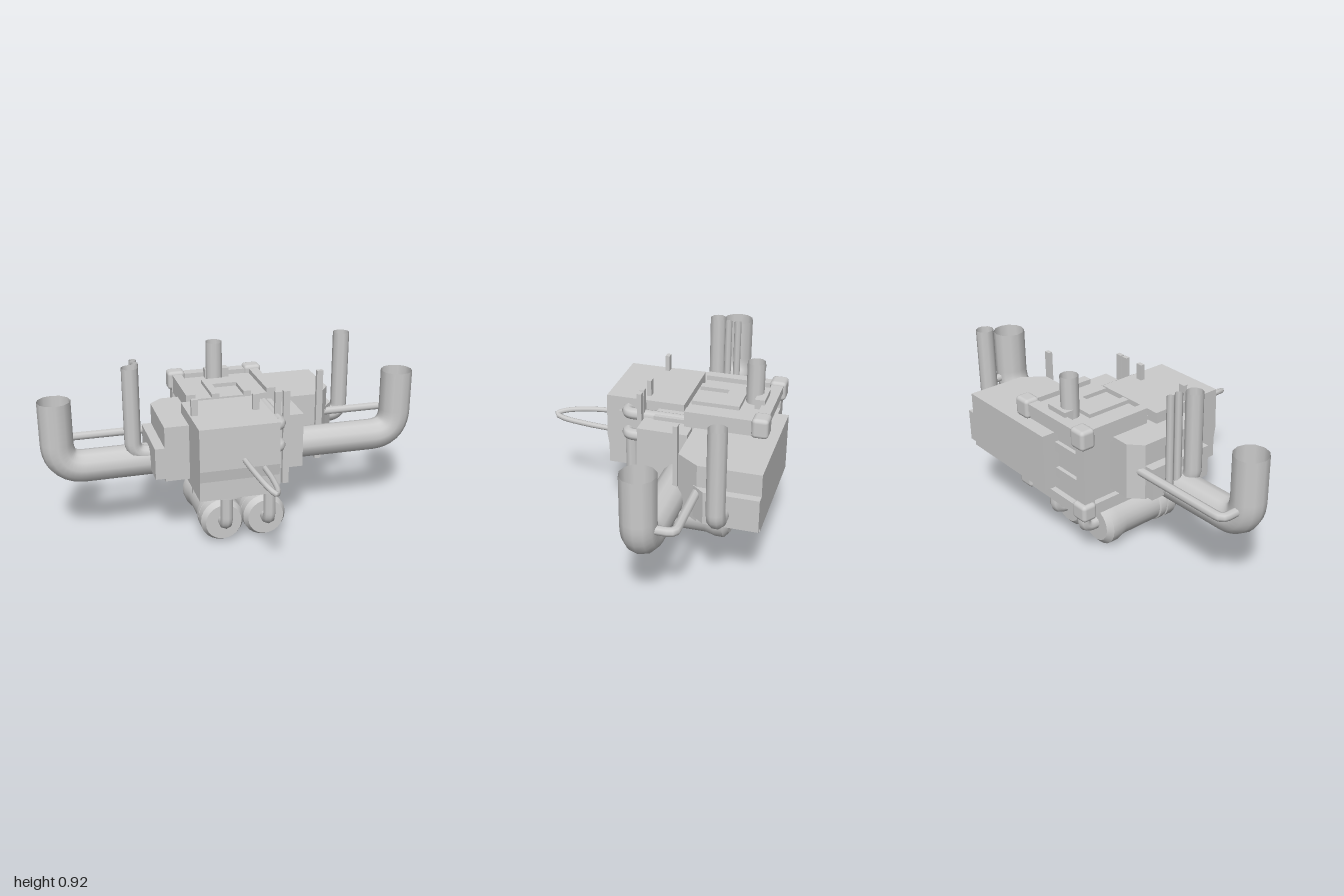
import * as THREE from 'three';
import { toCreasedNormals } from 'three/addons/utils/BufferGeometryUtils.js';
import { RoundedBoxGeometry } from 'three/addons/geometries/RoundedBoxGeometry.js';

export function createModel() {
  const model = new THREE.Group();
  const solid = new THREE.MeshStandardMaterial({ color: 0xcccccc });
  const open = new THREE.MeshStandardMaterial({ color: 0xcccccc, side: THREE.DoubleSide });

  const add = (name, geometry, material = solid) => {
    const mesh = new THREE.Mesh(geometry, material);
    mesh.name = name;
    model.add(mesh);
    return mesh;
  };
  // Box given by its limits on each axis
  const box = (name, x0, x1, y0, y1, z0, z1) =>
    add(name, new THREE.BoxGeometry(x1 - x0, y1 - y0, z1 - z0))
      .position.set((x0 + x1) / 2, (y0 + y1) / 2, (z0 + z1) / 2);
  const roundBox = (name, x0, x1, y0, y1, z0, z1, r = 0.02) =>
    add(name, new RoundedBoxGeometry(x1 - x0, y1 - y0, z1 - z0, 2, r))
      .position.set((x0 + x1) / 2, (y0 + y1) / 2, (z0 + z1) / 2);
  // Upright prism over an outline of [x, z] points
  const prism = (name, outline, y0, y1) => {
    const shape = new THREE.Shape(outline.map(([x, z]) => new THREE.Vector2(x, -z)));
    const g = new THREE.ExtrudeGeometry(shape, { depth: y1 - y0, bevelEnabled: false });
    add(name, g.rotateX(-Math.PI / 2).translate(0, y0, 0));
  };
  // Pipe through corner points, each corner rounded by the bend length
  const pipe = (name, corners, radius, bend, sides = 10) => {
    const p = corners.map(c => new THREE.Vector3(...c));
    const path = new THREE.CurvePath();
    let from = p[0];
    for (let i = 1; i < p.length - 1; i++) {
      const a = p[i].clone().add(p[i - 1].clone().sub(p[i]).setLength(bend));
      const b = p[i].clone().add(p[i + 1].clone().sub(p[i]).setLength(bend));
      path.add(new THREE.LineCurve3(from, a));
      path.add(new THREE.QuadraticBezierCurve3(a, p[i], b));
      from = b;
    }
    path.add(new THREE.LineCurve3(from, p[p.length - 1]));
    add(name, new THREE.TubeGeometry(path, 40, radius, sides), open);
  };

  // Front housing, its lower front slightly set back
  const profile = [[0.27, 0.717], [-0.13, 0.717], [-0.13, 0.34], [0.265, 0.34], [0.265, 0.44], [0.275, 0.5]];
  const side = new THREE.Shape(profile.map(([z, y]) => new THREE.Vector2(-z, y)));
  add('frontHousing', new THREE.ExtrudeGeometry(side, { depth: 0.405, bevelEnabled: false })
    .rotateY(Math.PI / 2).translate(-0.28, 0, 0));
  box('housingSidePanel', 0.12, 0.135, 0.51, 0.645, 0.07, 0.205);

  // Core and side blocks
  box('coreBlock', -0.22, 0.21, 0.33, 0.68, -0.53, 0);
  prism('rightBlock', [[-0.405, 0.05], [-0.1, 0.05], [-0.1, -0.37], [-0.34, -0.37], [-0.405, -0.31]], 0.37, 0.66);
  box('rightBlockStep', -0.455, -0.4, 0.385, 0.55, -0.31, 0.05);
  box('leftBlock', 0.1, 0.32, 0.37, 0.66, -0.2, 0.05);
  prism('rearLeftBlock', [[-0.03, -0.62], [0.58, -0.62], [0.58, -0.32], [0.5, -0.21], [-0.03, -0.21]], 0.365, 0.66);
  prism('rearLeftStep', [[0.57, -0.62], [0.62, -0.62], [0.62, -0.36], [0.57, -0.3]], 0.385, 0.55);

  // Top cover with side rails, corner pads and a raised frame
  box('topCover', -0.2, 0.19, 0.66, 0.715, -0.55, -0.16);
  for (const s of [-1, 1]) {
    const c = s * 0.215 - 0.005;
    box('topRail', c - 0.025, c + 0.025, 0.64, 0.74, -0.5, -0.16);
    roundBox('topCornerPad', c - 0.05, c + 0.045, 0.655, 0.757, -0.573, -0.49);
    roundBox('bottomCornerPad', c - 0.05, c + 0.045, 0.27, 0.36, -0.573, -0.49);
    box('rearPost', c - 0.03, c + 0.03, 0.34, 0.67, -0.55, -0.49);
    box('bottomRail', c - 0.03, c + 0.03, 0.28, 0.34, -0.5, -0.15);
    box('frameSide', s * 0.085 - 0.025, s * 0.085 + 0.015, 0.71, 0.735, -0.4, -0.16);
  }
  box('frameBack', -0.11, 0.1, 0.71, 0.735, -0.4, -0.31);
  box('topCrossbar', -0.19, 0.18, 0.7, 0.74, -0.56, -0.5);
  box('chimneyPad', -0.07, 0.06, 0.71, 0.765, -0.515, -0.465);
  box('bottomCrossbar', -0.19, 0.18, 0.28, 0.335, -0.56, -0.49);
  box('bottomFrontBar', -0.19, 0.18, 0.285, 0.335, -0.22, -0.15);
  for (const y of [0.42, 0.56]) box('rearRib', -0.2, 0.18, y, y + 0.05, -0.55, -0.52);

  // Round fittings underneath
  const drum = new THREE.CylinderGeometry(0.118, 0.118, 0.06, 20);
  add('frontDrum', drum).position.set(-0.1, 0.33, 0.085);
  const ring = [[0.1, 0], [0.13, 0], [0.13, 0.05], [0.1, 0.05], [0.1, 0]].map(p => new THREE.Vector2(...p));
  add('undersideRing', toCreasedNormals(new THREE.LatheGeometry(ring, 24), 0.6)).position.set(0, 0.3, -0.355);

  // Wide side exhausts with their thin return pipes
  for (const s of [-1, 1]) {
    pipe('sideExhaust', [[s * 0.25, 0.417, -0.16], [s * 0.915, 0.417, -0.155], [s * 0.915, 0.777, -0.155]], 0.084, 0.14, 12);
    pipe('returnPipe', [[s * 0.915, 0.515, -0.15], [s * 0.915, 0.515, -0.317], [s * 0.3, 0.515, -0.317]], 0.022, 0.035, 8);
  }

  // Upright stacks
  pipe('rightStack', [[-0.4, 0.45, -0.13], [-0.535, 0.47, -0.13], [-0.535, 0.925, -0.13]], 0.043, 0.06);
  pipe('rearStack', [[0.58, 0.45, -0.44], [0.7, 0.45, -0.44], [0.7, 0.925, -0.44]], 0.045, 0.06);
  pipe('chimney', [[-0.025, 0.66, -0.45], [-0.025, 0.925, -0.45]], 0.045, 0, 12);
  for (const z of [-0.195, -0.245]) pipe('thinStack', [[-0.5, 0.43, z], [-0.5, 0.925, z]], 0.019, 0, 8);

  // Flat vertical rods
  for (const [x, z] of [[-0.255, 0.065], [0.06, 0.065], [0.175, 0.065], [0.22, 0.065], [0.49, -0.195]])
    box('rod', x - 0.017, x + 0.017, 0.295, 0.8, z - 0.011, z + 0.011);

  // Hanging tanks and the pipes that carry them
  const tank = [[0, -0.385], [0.09, -0.385], [0.118, -0.36], [0.118, -0.315], [0.105, -0.265], [0.105, -0.045],
    [0.112, -0.04], [0.112, -0.005], [0.106, -0.003], [0.106, 0.003], [0.114, 0.005], [0.114, 0.055],
    [0.095, 0.088], [0, 0.088]].map(p => new THREE.Vector2(...p));
  for (const x of [-0.115, 0.112]) {
    add('tank', toCreasedNormals(new THREE.LatheGeometry(tank, 24).rotateX(Math.PI / 2), 0.5)).position.set(x, 0.12, 0);
    pipe('tankFrontPipe', [[x, 0.13, 0.05], [x, 0.13, 0.148], [x, x < 0 ? 0.36 : 0.55, 0.148]], 0.033, 0.05, 8);
    pipe('tankRearPipe', [[x, 0.13, -0.35], [x, 0.13, -0.457], [x, 0.32, -0.457]], 0.033, 0.05, 8);
  }

  // Hoses on the left of the front housing
  for (const [y, z] of [[0.657, -0.16], [0.54, 0]])
    pipe('sideHose', [[0.09, y, 0.157], [0.17, y, 0.157], [0.17, y, z]], 0.03, 0.045, 8);

  // Front wire loop
  const loop = new THREE.CatmullRomCurve3([[-0.055, 0.54, 0.25], [-0.045, 0.533, 0.42], [-0.022, 0.517, 0.56],
    [0, 0.503, 0.602], [0.022, 0.496, 0.56], [0.042, 0.49, 0.42], [0.048, 0.485, 0.25]].map(p => new THREE.Vector3(...p)));
  add('frontLoop', new THREE.TubeGeometry(loop, 40, 0.014, 8), open);

  return model;
}
